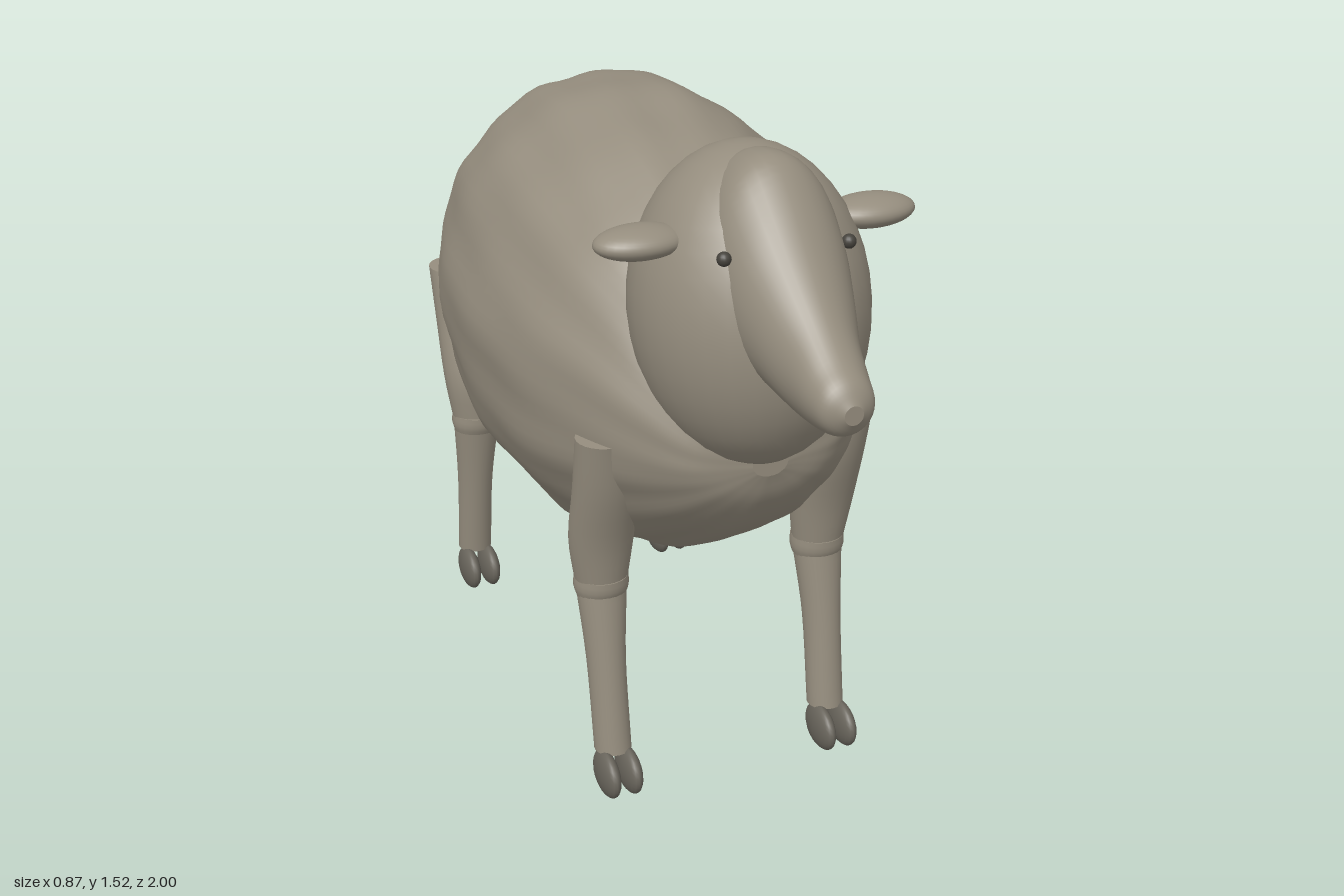
import * as THREE from 'three';

const wool = new THREE.MeshStandardMaterial({ color: 0x958d7e });
wool.name = 'wool';
const hoofGrey = new THREE.MeshStandardMaterial({ color: 0x69655c });
hoofGrey.name = 'hoofGrey';
const eyeDark = new THREE.MeshStandardMaterial({ color: 0x45423c });
eyeDark.name = 'eyeDark';

// Lofts ellipses given as [position, centreU, centreV, radiusU, radiusV].
// axis 'z': u = x, v = y.  axis 'y': u = x, v = z.
function loft(rows, axis, { steps = 24, sides = 32, bump = () => 1 } = {}) {
  const centres = new THREE.CatmullRomCurve3(rows.map(r => new THREE.Vector3(r[0], r[1], r[2])), false, 'catmullrom');
  const radii = new THREE.CatmullRomCurve3(rows.map(r => new THREE.Vector3(r[3], r[4], 0)), false, 'catmullrom');
  const pos = [], index = [];
  const put = (u, v, w) => pos.push(...(axis === 'z' ? [u, v, w] : [u, w, v]));
  const sign = axis === 'z' ? 1 : -1;
  const ring = (t) => {
    const c = centres.getPoint(t), r = radii.getPoint(t);
    for (let j = 0; j < sides; j++) {
      const a = j / sides * Math.PI * 2, k = bump(a, c.x);
      put(c.y + r.x * k * Math.cos(a), c.z + sign * r.y * k * Math.sin(a), c.x);
    }
    return c;
  };
  for (let i = 0; i <= steps; i++) ring(i / steps);
  for (let i = 0; i < steps; i++) for (let j = 0; j < sides; j++) {
    const n = (j + 1) % sides, a = i * sides + j, b = i * sides + n;
    index.push(a, b, a + sides, b, b + sides, a + sides);
  }
  // End caps with their own vertices, for crisp edges
  for (const t of [0, 1]) {
    const start = pos.length / 3, c = ring(t), mid = pos.length / 3;
    put(c.y, c.z, c.x);
    for (let j = 0; j < sides; j++) {
      const a = start + j, b = start + (j + 1) % sides;
      index.push(mid, ...(t ? [a, b] : [b, a]));
    }
  }
  const g = new THREE.BufferGeometry();
  g.setAttribute('position', new THREE.Float32BufferAttribute(pos, 3));
  g.setIndex(index);
  g.computeVertexNormals();
  return g;
}

function add(parent, name, geometry, material, x = 0, y = 0, z = 0) {
  const mesh = new THREE.Mesh(geometry, material);
  mesh.name = name;
  mesh.position.set(x, y, z);
  parent.add(mesh);
  return mesh;
}

const ellipsoid = (rx, ry, rz) => new THREE.SphereGeometry(1, 32, 20).scale(rx, ry, rz);

// Cloven hoof half: an ellipsoid pressed flat at the ground
function hoofGeometry() {
  const g = new THREE.SphereGeometry(1, 20, 14).scale(0.023, 0.052, 0.068);
  const p = g.attributes.position;
  for (let i = 0; i < p.count; i++) p.setY(i, Math.max(p.getY(i), -0.045));
  g.computeVertexNormals();
  return g;
}

// Leg path z: thigh top, thigh middle, above knee, knee, shin, ankle
function makeLeg(name, side, [z0, z1, z2, z3, z4, z5], hoofZ) {
  const leg = new THREE.Group();
  leg.name = name;
  const s = side;
  add(leg, 'upperLeg', loft([
    [0.48, s * 0.262, z3, 0.058, 0.055],
    [0.60, s * 0.265, z2, 0.073, 0.064],
    [0.74, s * 0.268, z1, 0.073, 0.066],
    [0.87, s * 0.282, z0, 0.062, 0.061],
  ], 'y', { steps: 12, sides: 24 }), wool);
  add(leg, 'knee', loft([
    [0.455, s * 0.262, z3, 0.057, 0.052],
    [0.475, s * 0.262, z3, 0.062, 0.060],
    [0.50, s * 0.262, z3, 0.060, 0.061],
  ], 'y', { steps: 4, sides: 24 }), wool);
  add(leg, 'lowerLeg', loft([
    [0.09, s * 0.263, z5, 0.042, 0.042],
    [0.30, s * 0.264, z4, 0.044, 0.046],
    [0.48, s * 0.262, z3, 0.058, 0.053],
  ], 'y', { steps: 10, sides: 24 }), wool);
  for (const d of [-1, 1])
    add(leg, 'hoof', hoofGeometry(), hoofGrey, s * 0.264 + d * 0.026, 0.045, hoofZ);
  return leg;
}

export function createModel() {
  const sheep = new THREE.Group();
  sheep.name = 'sheep';

  // Fleece with shallow lengthwise ridges
  const ridges = (a, z) => 1 + 0.008 * Math.sin(11 * a + 3 * z) + 0.006 * Math.sin(19 * a - 7 * z)
    + 0.005 * Math.sin(23 * z + 3 * a);
  add(sheep, 'body', loft([
    [-0.925, 0, 0.91, 0.03, 0.04],
    [-0.90, 0, 0.905, 0.11, 0.13],
    [-0.84, 0, 0.895, 0.19, 0.215],
    [-0.74, 0, 0.90, 0.26, 0.31],
    [-0.58, 0, 0.915, 0.34, 0.41],
    [-0.40, 0, 0.93, 0.395, 0.48],
    [-0.18, 0, 0.935, 0.43, 0.51],
    [0.04, 0, 0.93, 0.425, 0.495],
    [0.24, 0, 0.925, 0.39, 0.44],
    [0.40, 0, 0.92, 0.325, 0.35],
    [0.52, 0, 0.90, 0.25, 0.24],
    [0.60, 0, 0.875, 0.16, 0.12],
    [0.63, 0, 0.86, 0.04, 0.03],
  ], 'z', { steps: 60, sides: 96, bump: ridges }), wool);

  // Woolly neck and back of the head
  add(sheep, 'neck', ellipsoid(0.25, 0.34, 0.265), wool, 0, 1.17, 0.505).rotation.x = -0.15;

  // Face from crown to muzzle
  add(sheep, 'face', loft([
    [0.49, 0, 1.36, 0.10, 0.135],
    [0.54, 0, 1.345, 0.122, 0.17],
    [0.62, 0, 1.325, 0.134, 0.19],
    [0.70, 0, 1.265, 0.130, 0.185],
    [0.78, 0, 1.215, 0.108, 0.148],
    [0.86, 0, 1.168, 0.082, 0.112],
    [0.93, 0, 1.14, 0.068, 0.078],
    [0.975, 0, 1.13, 0.055, 0.055],
    [1.0, 0, 1.127, 0.02, 0.02],
  ], 'z', { steps: 40, sides: 36 }), wool);

  for (const s of [-1, 1]) {
    const label = s > 0 ? 'left' : 'right';
    add(sheep, label + 'Ear', ellipsoid(0.098, 0.034, 0.062), wool, s * 0.252, 1.35, 0.54);
    add(sheep, label + 'Eye', new THREE.SphereGeometry(0.015, 16, 12), eyeDark, s * 0.134, 1.348, 0.685);
    sheep.add(makeLeg(label + 'FrontLeg', s, [0.405, 0.375, 0.335, 0.322, 0.355, 0.39], 0.425));
    sheep.add(makeLeg(label + 'HindLeg', s, [-0.67, -0.635, -0.595, -0.588, -0.612, -0.64], -0.605));
  }

  // Hanging tail
  add(sheep, 'tail', loft([
    [0.65, 0, -0.965, 0.032, 0.034],
    [0.72, 0, -0.95, 0.055, 0.045],
    [0.85, 0, -0.93, 0.066, 0.05],
    [0.95, 0, -0.915, 0.048, 0.034],
    [1.01, 0, -0.90, 0.01, 0.012],
  ], 'y', { steps: 16, sides: 24 }), wool);

  return sheep;
}
